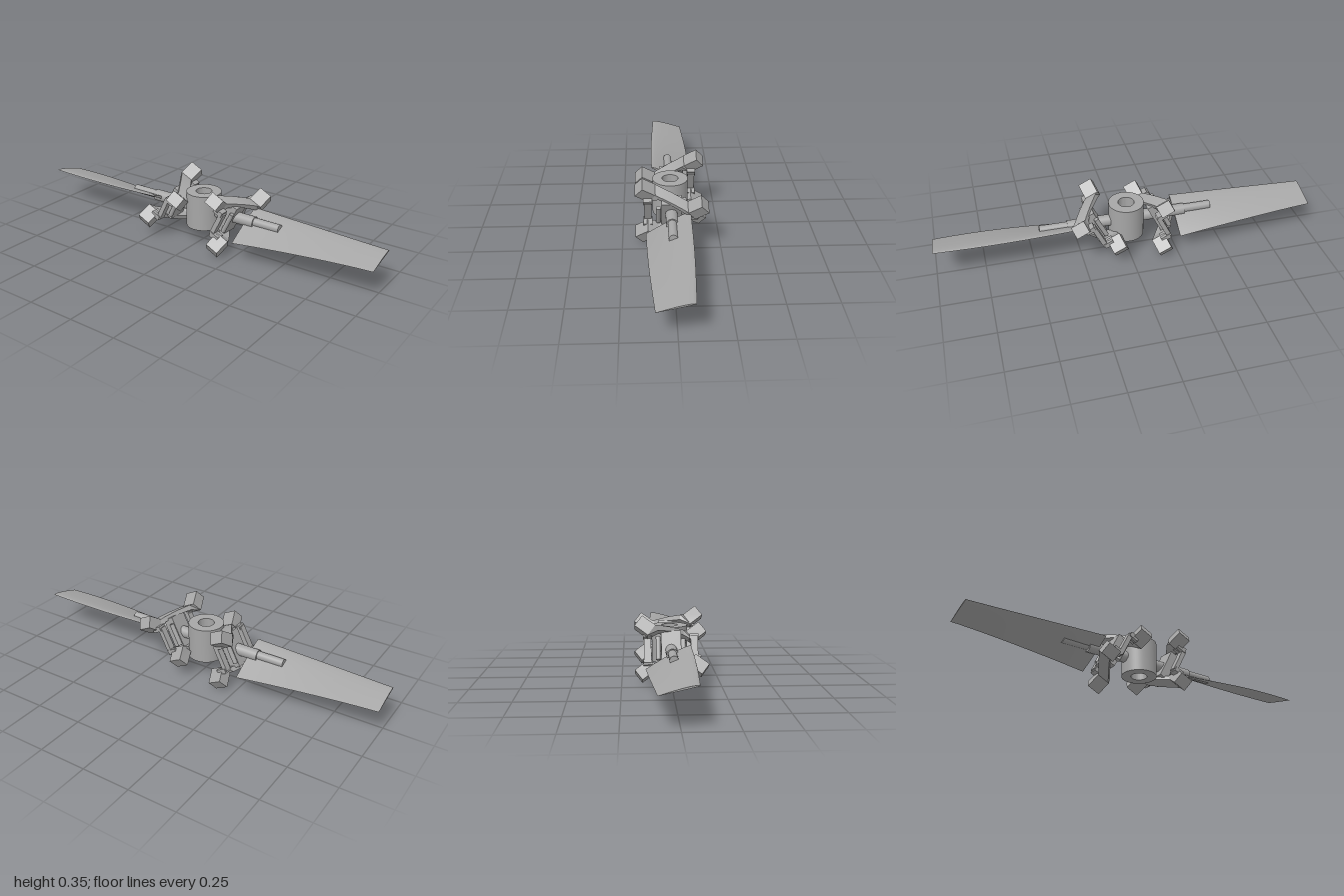
import * as THREE from 'three';
import { toCreasedNormals } from 'three/addons/utils/BufferGeometryUtils.js';

const CENTER_Y = 0.18;
const TILT = -0.46; // lean of the weight clusters, about z
const metal = new THREE.MeshStandardMaterial({ color: 0xa6a6a6 });
metal.name = 'grey metal';

function add(parent, name, geometry, x = 0, y = 0, z = 0) {
  const mesh = new THREE.Mesh(geometry, metal);
  mesh.name = name;
  mesh.position.set(x, y, z);
  parent.add(mesh);
  return mesh;
}

// Skin over equal rings of points, capped at both ends
function loft(rings, crease) {
  const n = rings[0].length, last = (rings.length - 1) * n, index = [];
  for (let k = 0; k < rings.length - 1; k++) {
    for (let i = 0; i < n; i++) {
      const a = k * n + i, b = k * n + (i + 1) % n;
      index.push(a, b, b + n, a, b + n, a + n);
    }
  }
  for (let i = 1; i < n - 1; i++) index.push(0, i + 1, i, last, last + i, last + i + 1);
  const g = new THREE.BufferGeometry();
  g.setAttribute('position', new THREE.Float32BufferAttribute(rings.flat(2), 3));
  g.setIndex(index);
  return toCreasedNormals(g, crease);
}

// Twisted, tapered blade with an airfoil section
function bladeGeometry() {
  const rings = [], mix = THREE.MathUtils.lerp, N = 14;
  const thickness = (s) => 2.6 * (0.2969 * Math.sqrt(s) - 0.126 * s - 0.3516 * s * s + 0.2843 * s ** 3 - 0.1036 * s ** 4);
  for (let k = 0; k <= 16; k++) {
    const t = k / 16, twist = 1 - (1 - t) ** 1.7, bow = 0.006 * Math.sin(Math.PI * t);
    const lead = [mix(0.215, 0.195, twist), mix(-0.094, -0.075, t) - bow];
    const trail = [mix(0.1, 0.155, twist), mix(0.13, 0.096, t) + bow];
    const dy = trail[0] - lead[0], dz = trail[1] - lead[1], chord = Math.hypot(dy, dz);
    const ring = [];
    const point = (s, h) => ring.push([
      mix(0.262, 1, t),
      lead[0] + dy * s + h * dz / chord,
      lead[1] + dz * s - h * dy / chord,
    ]);
    const upper = mix(0.042, 0.028, t), lower = mix(0.012, 0.004, t);
    for (let i = 0; i <= N; i++) { const s = (i / N) ** 1.7; point(s, upper * thickness(s)); }
    for (let i = N - 1; i > 0; i--) { const s = (i / N) ** 1.7; point(s, -lower * thickness(s)); }
    rings.push(ring);
  }
  return loft(rings, 0.7);
}

// Skewed strap with a block-shaped weight bent outward at each end
function weightBarGeometry(side) {
  const half = [ // outer z, outer v, inner z, inner v, offset, half width
    [0.145, 0.151, 0.183, 0.1, 0.055, 0.036],
    [0.08, 0.102, 0.118, 0.05, 0.055, 0.036],
    [0.065, 0.105, 0.065, 0.078, 0.043, 0.034],
  ];
  const ring = ([zo, vo, zi, vi, u, w], sign) => {
    const c = u * side * sign;
    return [[c + w, vo, zo * sign], [c - w, vo, zo * sign], [c - w, vi, zi * sign], [c + w, vi, zi * sign]];
  };
  const rings = half.map((h) => ring(h, -1));
  rings.push(ring([0, 0.108, 0, 0.085, 0, 0.034], 1));
  rings.push(...half.slice().reverse().map((h) => ring(h, 1)));
  return loft(rings, 0.3);
}

// Two opposed weight bars, joined by rods around a central yoke
function weightCluster(side) {
  const cluster = new THREE.Group();
  cluster.name = 'weightCluster';
  for (const turn of [0, Math.PI]) {
    const half = new THREE.Group();
    half.name = 'weightBarAssembly';
    half.rotation.z = turn;
    add(half, 'weightBar', weightBarGeometry(side));
    for (const z of [-1, 1]) {
      add(half, 'rodLug', new THREE.BoxGeometry(0.05, 0.026, 0.045), 0.02 * side * z, 0.067, 0.118 * z);
    }
    cluster.add(half);
  }
  for (const z of [-1, 1]) {
    add(cluster, 'linkRod', new THREE.BoxGeometry(0.024, 0.14, 0.036), 0, 0, 0.118 * z);
    add(cluster, 'yokeBoss', new THREE.CylinderGeometry(0.012, 0.012, 0.12, 16), 0.025 * z, 0, 0.065 * z);
  }
  add(cluster, 'yoke', new THREE.BoxGeometry(0.06, 0.18, 0.1));
  cluster.position.set(-0.17 * side, CENTER_Y, 0);
  cluster.rotation.z = TILT;
  return cluster;
}

export function createModel() {
  const model = new THREE.Group();
  model.name = 'rotor';

  // Hub with a through bore
  const hub = new THREE.LatheGeometry(
    [[0.042, -0.094], [0.092, -0.094], [0.092, 0.094], [0.042, 0.094], [0.042, -0.094]]
      .map(([r, y]) => new THREE.Vector2(r, y)), 48);
  add(model, 'hub', toCreasedNormals(hub, 0.5), 0, 0.184, 0);

  // Blades and their spars, turned half a circle apart
  const blade = bladeGeometry();
  for (const turn of [0, Math.PI]) {
    const arm = new THREE.Group();
    arm.name = 'bladeArm';
    arm.rotation.y = turn;
    add(arm, 'blade', blade);
    const spar = add(arm, 'bladeSpar', new THREE.CylinderGeometry(0.022, 0.022, 0.22, 24), 0.35, 0.183, 0);
    spar.rotation.z = Math.PI / 2;
    const shaft = add(arm, 'rootShaft', new THREE.CylinderGeometry(0.03, 0.03, 0.24, 24), 0.195, CENTER_Y, 0);
    shaft.rotation.z = Math.PI / 2;
    model.add(arm);
  }

  // Left and right weight clusters
  for (const side of [1, -1]) model.add(weightCluster(side));
  return model;
}
